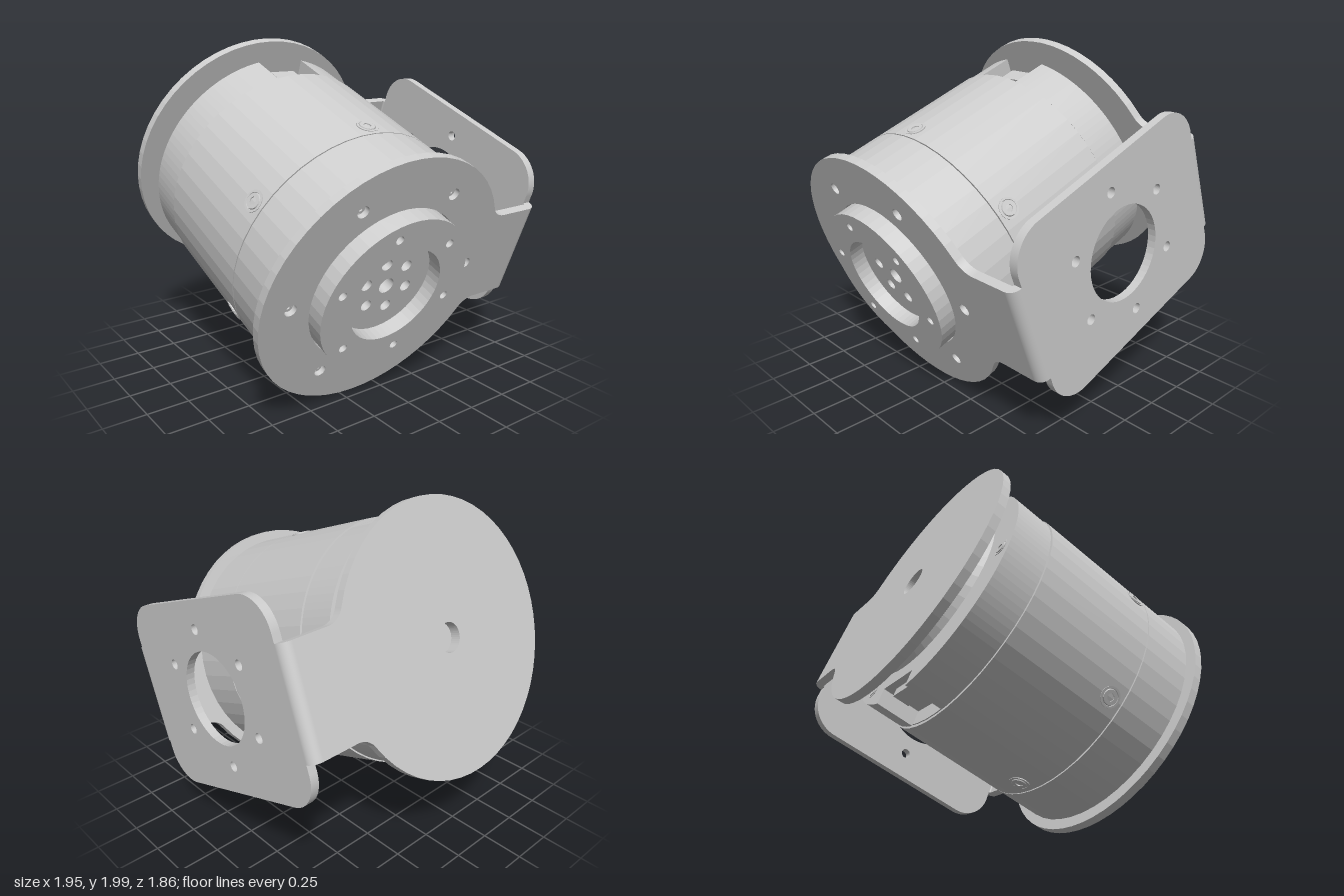
import * as THREE from 'three';

const grey = new THREE.MeshStandardMaterial({ color: 0xcccccc, flatShading: true });
const TAU = Math.PI * 2;

function add(parent, name, geometry) {
  const mesh = new THREE.Mesh(geometry, grey);
  mesh.name = name;
  parent.add(mesh);
  return mesh;
}

// Turned part around the x axis; profile is [radius, x], from low x to high x
function turned(profile, segments = 48) {
  const pts = profile.map(([r, x]) => new THREE.Vector2(r, x));
  return new THREE.LatheGeometry(pts, segments).rotateZ(-Math.PI / 2);
}

function extrude(shape, depth) {
  return new THREE.ExtrudeGeometry(shape, { depth, bevelEnabled: false, curveSegments: 24 });
}

// Flat part lying across the x axis; shape X runs to the back (-z), Y is up
function slab(shape, x0, x1) {
  return extrude(shape, x1 - x0).rotateY(Math.PI / 2).translate(x0, 0, 0);
}

function punch(shape, x, y, r) {
  const hole = new THREE.Path();
  hole.absarc(x, y, r, 0, TAU, true);
  shape.holes.push(hole);
}

// n holes on a pitch circle, angle measured from the front (+z) upwards
function punchRing(shape, n, pitch, r, start) {
  for (let i = 0; i < n; i++) {
    const a = start + (i * TAU) / n;
    punch(shape, -pitch * Math.cos(a), pitch * Math.sin(a), r);
  }
}

function disc(r) {
  const s = new THREE.Shape();
  s.absarc(0, 0, r, 0, TAU, false);
  return s;
}

// Round bracket cheek with a filleted tab reaching to the back
function cheekShape() {
  const R = 0.78, half = 0.3, f = 0.12, end = 1.02;
  const cy = half + f, cx = Math.sqrt((R + f) ** 2 - cy ** 2);
  const a = Math.atan2(cy, cx);
  const s = new THREE.Shape();
  s.moveTo(end, -half);
  s.lineTo(end, half);
  s.absarc(cx, cy, f, -Math.PI / 2, a - Math.PI, true);
  s.absarc(0, 0, R, a, TAU - a, false);
  s.absarc(cx, -cy, f, Math.PI - a, Math.PI / 2, true);
  return s;
}

// Quarter-round sheet bend joining a cheek to the back plate
function bend(side) {
  const s = new THREE.Shape();
  const a0 = side > 0 ? 0 : Math.PI / 2, a1 = a0 + Math.PI / 2;
  s.absarc(side * 0.6925, 1.02, 0.06, a0, a1, false);
  s.absarc(side * 0.6925, 1.02, 0.01, a1, a0, true);
  return extrude(s, 0.6).rotateX(-Math.PI / 2).translate(0, -0.3, 0);
}

function backPlateShape() {
  const w = 0.6925, h = 0.55, c = 0.2;
  const s = new THREE.Shape();
  s.absarc(w - c, h - c, c, 0, Math.PI / 2, false);
  s.absarc(c - w, h - c, c, Math.PI / 2, Math.PI, false);
  s.absarc(c - w, c - h, c, Math.PI, Math.PI * 1.5, false);
  s.absarc(w - c, c - h, c, Math.PI * 1.5, TAU, false);
  punch(s, 0, 0, 0.27);
  punchRing(s, 6, 0.39, 0.03, Math.PI / 2);
  return s;
}

// Rear cap outline with a cable notch at the top and bottom
function capShape() {
  const R = 0.714, w = 0.15, floor = 0.6, a = Math.asin(w / R), q = Math.PI / 2;
  const s = new THREE.Shape();
  s.absarc(0, 0, R, a - q, q - a, false);
  s.lineTo(w, floor);
  s.lineTo(-w, floor);
  s.absarc(0, 0, R, q + a, 3 * q - a, false);
  s.lineTo(-w, -floor);
  s.lineTo(w, -floor);
  return s;
}

// Screw head with a hex socket, pointing along +x
const screwGeometry = (r) => turned(
  [[r, -0.03], [r, 0.003], [r * 0.8, 0.003], [r * 0.76, -0.003], [r * 0.7, 0.006], [r * 0.35, 0.006], [r * 0.35, -0.002], [0, -0.002]], 18);

export function createModel() {
  const root = new THREE.Group();
  root.name = 'motorWithBracket';
  const unit = new THREE.Group();
  unit.name = 'tiltedUnit';
  unit.position.set(0, 1.0025, 0.15);
  unit.rotation.z = -0.356;
  root.add(unit);

  // Housing
  add(unit, 'housing', turned([
    [0, -0.36], [0.705, -0.36], [0.705, -0.354], [0.722, -0.354], [0.722, 0.379], [0.71, 0.379],
    [0.71, 0.386], [0.722, 0.386], [0.722, 0.692], [0.71, 0.692], [0.71, 0.7], [0, 0.7]]));
  add(unit, 'rearCap', slab(capShape(), -0.59, -0.36));
  for (const side of [1, -1]) {
    add(unit, 'connector', new THREE.BoxGeometry(0.1, 0.06, 0.16).translate(-0.5, side * 0.62, 0));
  }

  // Domed pivot between the rear cap and the cheek
  add(unit, 'pivotDome', turned([
    [0, -0.69], [0.085, -0.69], [0.085, -0.7025], [0.29, -0.7025], [0.36, -0.69], [0.43, -0.663], [0.49, -0.625], [0.52, -0.585]]));

  // Bracket
  const bracket = new THREE.Group();
  bracket.name = 'bracket';
  unit.add(bracket);
  const outer = cheekShape();
  punch(outer, 0, 0, 0.085);
  add(bracket, 'rightCheek', slab(outer, -0.7525, -0.7025));
  const mount = cheekShape();
  punch(mount, 0, 0, 0.487);
  punchRing(mount, 6, 0.605, 0.035, 0);
  add(bracket, 'leftCheek', slab(mount, 0.7025, 0.7525));
  for (const side of [1, -1]) add(bracket, 'bend', bend(side));
  add(bracket, 'backPlate', extrude(backPlateShape(), 0.05).translate(0, 0, -1.08));

  // Output hub: drilled ring around a recessed, drilled face
  const ring = disc(0.48);
  punch(ring, 0, 0, 0.295);
  punchRing(ring, 6, 0.395, 0.025, Math.PI / 12);
  add(unit, 'hubRing', slab(ring, 0.7, 0.85));
  const face = disc(0.296);
  punch(face, 0, 0, 0.048);
  punchRing(face, 6, 0.152, 0.034, Math.PI / 12);
  add(unit, 'hubFace', slab(face, 0.7, 0.76));

  // Screws: around the housing, in the left cheek and on the rear cap
  for (let i = 0; i < 6; i++) {
    const a = Math.PI / 6 + (i * Math.PI) / 3;
    const side = add(unit, 'housingScrew', screwGeometry(0.06));
    const dir = new THREE.Vector3(0, Math.sin(a), Math.cos(a));
    side.position.copy(dir).multiplyScalar(0.721).setX(0.3);
    side.quaternion.setFromUnitVectors(new THREE.Vector3(1, 0, 0), dir);

    const b = (i * Math.PI) / 3;
    add(unit, 'cheekScrew', screwGeometry(0.03))
      .position.set(0.722, 0.605 * Math.sin(b), 0.605 * Math.cos(b));
    if (i % 2 === 0) {
      const cap = add(unit, 'capScrew', screwGeometry(0.05));
      cap.position.set(-0.59, 0.63 * Math.sin(b), 0.63 * Math.cos(b));
      cap.rotation.y = Math.PI;
    }
  }
  return root;
}
